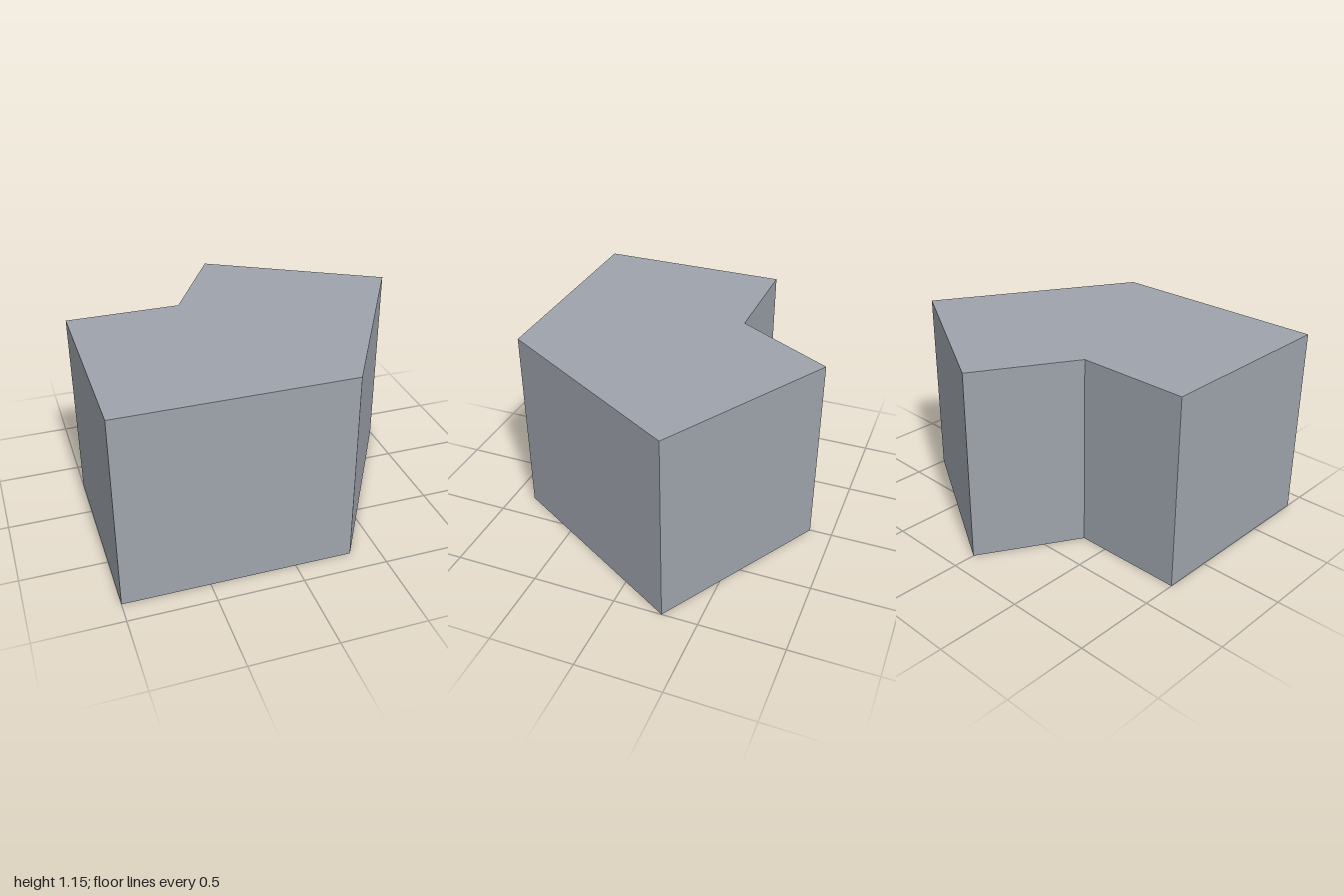
import * as THREE from 'three';

const HEIGHT = 1.155;

// Bent footprint as [x, z], counter-clockwise seen from above
const FOOTPRINT = [
  [-1, 0.866], [0.333, 0.866], [1, -0.289],
  [0, -0.866], [-0.333, -0.289], [-1, -0.289],
];
const WALL_NAMES = ['frontWall', 'frontLeftWall', 'backLeftWall', 'innerWall', 'backWall', 'rightWall'];

export function createModel() {
  const group = new THREE.Group();
  group.name = 'bentBlock';

  const grey = new THREE.MeshStandardMaterial({ color: 0x9ea4ac, side: THREE.DoubleSide });
  grey.name = 'blue grey';

  // Flat top over the footprint; the underside stays open
  const outline = new THREE.Shape(FOOTPRINT.map(([x, z]) => new THREE.Vector2(x, -z)));
  const top = new THREE.Mesh(new THREE.ShapeGeometry(outline).rotateX(-Math.PI / 2), grey);
  top.name = 'top';
  top.position.y = HEIGHT;
  group.add(top);

  // One thin upright wall per footprint edge, facing outward
  FOOTPRINT.forEach(([ax, az], i) => {
    const [bx, bz] = FOOTPRINT[(i + 1) % FOOTPRINT.length];
    const length = Math.hypot(bx - ax, bz - az);
    const wall = new THREE.Mesh(new THREE.PlaneGeometry(length, HEIGHT), grey);
    wall.name = WALL_NAMES[i];
    wall.position.set((ax + bx) / 2, HEIGHT / 2, (az + bz) / 2);
    wall.rotation.y = Math.atan2(az - bz, bx - ax);
    group.add(wall);
  });

  return group;
}
